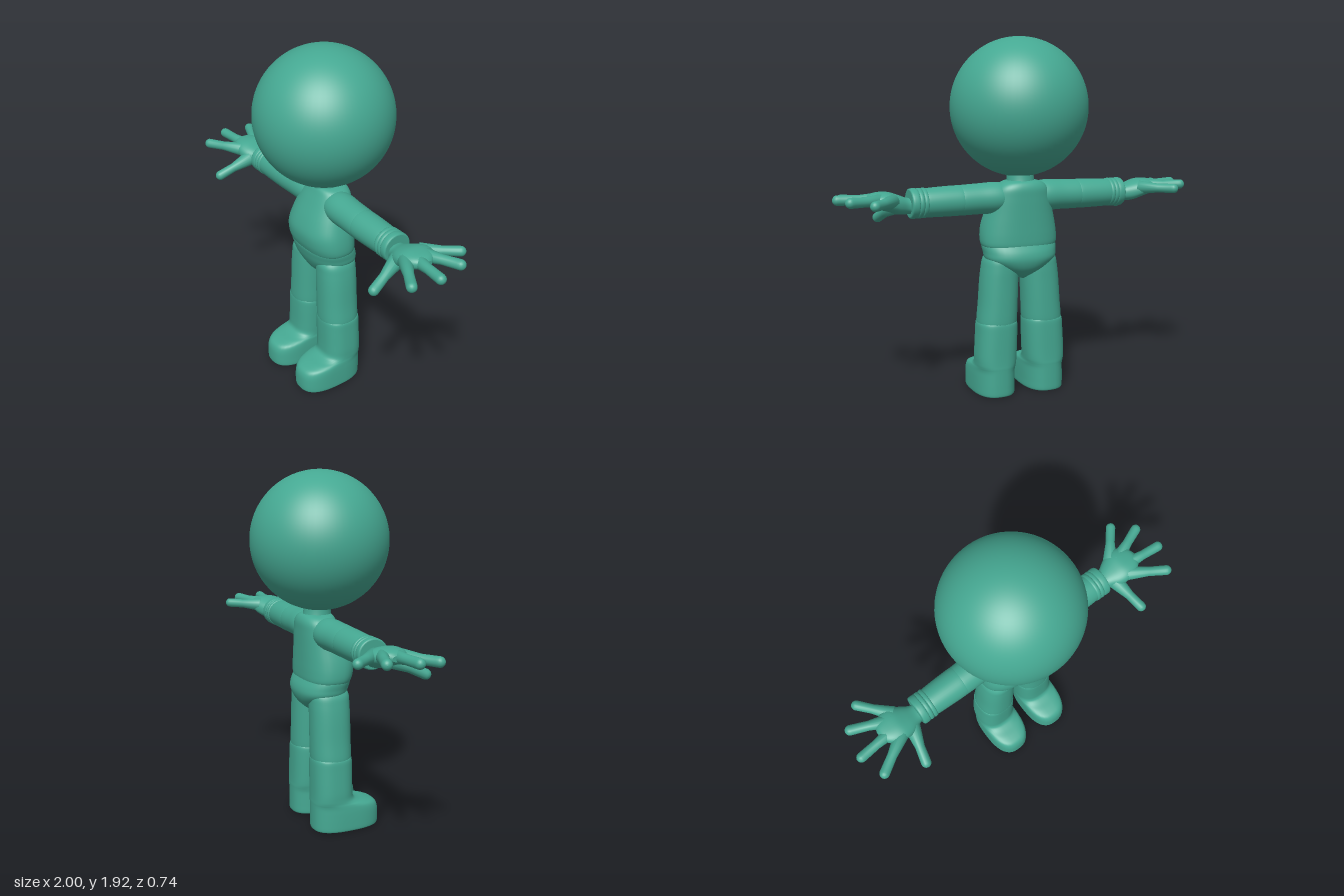
import * as THREE from 'three';

const material = new THREE.MeshStandardMaterial({ color: 0x45a892 });

// Smooth interpolation between the rows of a cross-section list
function spline(rows, steps) {
  const out = [];
  for (let i = 0; i < rows.length - 1; i++) {
    const p0 = rows[Math.max(i - 1, 0)], p1 = rows[i], p2 = rows[i + 1], p3 = rows[Math.min(i + 2, rows.length - 1)];
    for (let s = 0; s < steps; s++) {
      const t = s / steps;
      out.push(p1.map((v, k) => v + 0.5 * t * (p2[k] - p0[k]
        + t * (2 * p0[k] - 5 * v + 4 * p2[k] - p3[k] + t * (3 * (v - p2[k]) + p3[k] - p0[k])))));
    }
  }
  out.push(rows[rows.length - 1]);
  return out;
}

// Closed loft of superellipses along 'y' (rows: y, x0, x1, z0, z1) or 'x' (rows: x, y0, y1, z0, z1)
function loft(rows, { axis = 'y', power = 2, steps = 5, sides = 40 } = {}) {
  const pos = [], index = [];
  const rings = spline(rows, steps);
  const round = (v) => Math.sign(v) * Math.abs(v) ** (2 / power);
  const addRing = ([t, a0, a1, b0, b1]) => {
    for (let j = 0; j < sides; j++) {
      const th = (j / sides) * Math.PI * 2;
      const c = round(Math.cos(th)), s = round(Math.sin(th));
      const a = (a0 + a1) / 2 + (a1 - a0) / 2 * (axis === 'y' ? c : s);
      const b = (b0 + b1) / 2 + (b1 - b0) / 2 * (axis === 'y' ? s : c);
      pos.push(...(axis === 'y' ? [a, t, b] : [t, a, b]));
    }
  };
  rings.forEach(addRing);
  for (let i = 0; i < rings.length - 1; i++) {
    for (let j = 0; j < sides; j++) {
      const k = (j + 1) % sides, p = i * sides, q = p + sides;
      index.push(p + j, q + j, p + k, p + k, q + j, q + k);
    }
  }
  // Flat end caps with their own vertices, so the rims stay crisp
  [rings[0], rings[rings.length - 1]].forEach((r, end) => {
    const base = pos.length / 3;
    addRing(r);
    const a = (r[1] + r[2]) / 2, b = (r[3] + r[4]) / 2;
    pos.push(...(axis === 'y' ? [a, r[0], b] : [r[0], a, b]));
    for (let j = 0; j < sides; j++) {
      const k = (j + 1) % sides;
      index.push(base + sides, ...(end ? [base + k, base + j] : [base + j, base + k]));
    }
  });
  const g = new THREE.BufferGeometry();
  g.setAttribute('position', new THREE.Float32BufferAttribute(pos, 3));
  g.setIndex(index);
  g.computeVertexNormals();
  return g;
}

// Tapered finger with a rounded tip, running from one point to another
function finger(from, to, r0, r1) {
  const a = new THREE.Vector3(...from), d = new THREE.Vector3(...to).sub(a), len = d.length();
  const pts = [[0, 0], [r0, 0], [r1 * 0.95, len * 0.5], [r1, len - r1 * 1.4]].map((p) => new THREE.Vector2(...p));
  for (let i = 0; i <= 6; i++) {
    const t = (i / 6) * Math.PI / 2;
    pts.push(new THREE.Vector2(i === 6 ? 0 : r1 * Math.cos(t), len - r1 + r1 * Math.sin(t)));
  }
  const g = new THREE.LatheGeometry(pts, 18);
  g.applyQuaternion(new THREE.Quaternion().setFromUnitVectors(new THREE.Vector3(0, 1, 0), d.normalize()));
  return g.translate(a.x, a.y, a.z);
}

// Copy a geometry to the other side, keeping its faces outward
function mirrored(geometry) {
  const g = geometry.clone(), p = g.attributes.position, n = g.attributes.normal, id = g.index.array;
  for (let i = 0; i < p.count; i++) {
    p.setX(i, -p.getX(i));
    n.setX(i, -n.getX(i));
  }
  for (let i = 0; i < id.length; i += 3) [id[i], id[i + 1]] = [id[i + 1], id[i]];
  return g;
}

export function createModel() {
  const model = new THREE.Group();
  const add = (name, geometry) => {
    const mesh = new THREE.Mesh(geometry, material);
    mesh.name = name;
    model.add(mesh);
  };
  const addPair = (name, geometry) => {
    add(name + 'Left', geometry);
    add(name + 'Right', mirrored(geometry));
  };

  // Head and neck
  const head = new THREE.SphereGeometry(0.368, 64, 48);
  add('head', head.translate(0, 1.556, 0));
  add('neck', loft([[1.1, -0.09, 0.09, -0.11, 0.07], [1.17, -0.075, 0.075, -0.09, 0.06], [1.26, -0.07, 0.07, -0.08, 0.06]]));

  // Torso with a forward belly, and hips with a rounded seat
  add('torso', loft([
    [0.8, -0.19, 0.19, -0.11, 0.13], [0.825, -0.21, 0.21, -0.12, 0.143], [0.87, -0.213, 0.213, -0.122, 0.157],
    [0.93, -0.205, 0.205, -0.122, 0.16], [1.0, -0.187, 0.187, -0.122, 0.138], [1.08, -0.165, 0.165, -0.122, 0.1],
    [1.13, -0.145, 0.145, -0.12, 0.075], [1.16, -0.11, 0.11, -0.105, 0.06], [1.172, -0.06, 0.06, -0.08, 0.045],
  ], { power: 2.4 }));
  add('hips', loft([
    [0.64, -0.015, 0.015, -0.06, 0.04], [0.665, -0.065, 0.065, -0.095, 0.075], [0.7, -0.135, 0.135, -0.127, 0.1],
    [0.745, -0.192, 0.192, -0.143, 0.122], [0.785, -0.203, 0.203, -0.139, 0.135],
    [0.825, -0.207, 0.207, -0.12, 0.143], [0.85, -0.19, 0.19, -0.105, 0.13],
  ], { power: 2.3 }));

  // Legs: thigh, then shin and boot in one piece
  addPair('thigh', loft([
    [0.39, 0.034, 0.232, -0.098, 0.105], [0.403, 0.026, 0.24, -0.104, 0.111], [0.5, 0.022, 0.231, -0.105, 0.111],
    [0.62, 0.018, 0.222, -0.105, 0.111], [0.7, 0.018, 0.212, -0.105, 0.11], [0.75, 0.025, 0.2, -0.1, 0.106],
    [0.79, 0.05, 0.17, -0.07, 0.08],
  ], { power: 2.35 }));
  addPair('shinAndBoot', loft([
    [0, 0.04, 0.25, -0.102, 0.262], [0.008, 0.031, 0.258, -0.109, 0.27], [0.05, 0.03, 0.259, -0.11, 0.272],
    [0.1, 0.03, 0.258, -0.11, 0.268], [0.13, 0.031, 0.256, -0.11, 0.25], [0.147, 0.032, 0.254, -0.11, 0.205],
    [0.16, 0.034, 0.252, -0.11, 0.15], [0.18, 0.033, 0.252, -0.109, 0.118], [0.23, 0.03, 0.252, -0.108, 0.112],
    [0.34, 0.026, 0.246, -0.107, 0.112], [0.395, 0.026, 0.242, -0.105, 0.111], [0.408, 0.034, 0.232, -0.098, 0.105],
  ], { power: 2.6 }));

  // Sleeves: upper arm and forearm meeting at the elbow seam
  addPair('upperArm', loft([
    [0.04, 1.02, 1.14, -0.075, 0.06], [0.13, 0.997, 1.162, -0.096, 0.08], [0.24, 0.996, 1.159, -0.09, 0.082],
    [0.335, 0.995, 1.155, -0.086, 0.082], [0.344, 1.0, 1.15, -0.08, 0.077],
  ], { axis: 'x' }));
  addPair('forearm', loft([
    [0.336, 1.0, 1.15, -0.08, 0.077], [0.345, 0.995, 1.155, -0.086, 0.082], [0.44, 0.995, 1.153, -0.084, 0.08],
    [0.525, 0.997, 1.148, -0.079, 0.076], [0.53, 1.001, 1.143, -0.075, 0.072],
  ], { axis: 'x' }));

  // Three stacked cuff bands
  for (const [i, [x0, x1]] of [[0.527, 0.553], [0.551, 0.577], [0.575, 0.615]].entries()) {
    addPair('cuffBand' + (i + 1), loft([
      [x0, 1.001, 1.145, -0.076, 0.073], [x0 + 0.006, 0.995, 1.151, -0.083, 0.08],
      [x1 - 0.006, 0.995, 1.151, -0.083, 0.08], [x1, 1.002, 1.144, -0.075, 0.072],
    ], { axis: 'x', steps: 3 }));
  }

  // Hands: flat palm, four spread fingers, thumb pointing forward and down
  addPair('palm', loft([
    [0.59, 1.02, 1.1, -0.045, 0.05], [0.63, 1.02, 1.105, -0.05, 0.058], [0.68, 1.022, 1.125, -0.078, 0.085],
    [0.73, 1.04, 1.14, -0.1, 0.093], [0.78, 1.055, 1.14, -0.09, 0.085], [0.82, 1.07, 1.132, -0.06, 0.06],
    [0.84, 1.085, 1.115, -0.025, 0.03],
  ], { axis: 'x', power: 2.3 }));
  const digits = [
    ['thumb', [0.675, 1.06, 0.045], [0.728, 0.965, 0.25], 0.044, 0.027],
    ['indexFinger', [0.74, 1.09, 0.055], [0.95, 1.088, 0.187], 0.04, 0.027],
    ['middleFinger', [0.75, 1.1, 0.015], [1.0, 1.105, 0.042], 0.04, 0.027],
    ['ringFinger', [0.74, 1.1, -0.03], [0.967, 1.11, -0.122], 0.04, 0.027],
    ['littleFinger', [0.715, 1.095, -0.055], [0.86, 1.1, -0.225], 0.038, 0.026],
  ];
  for (const [name, from, to, r0, r1] of digits) addPair(name, finger(from, to, r0, r1));

  return model;
}
